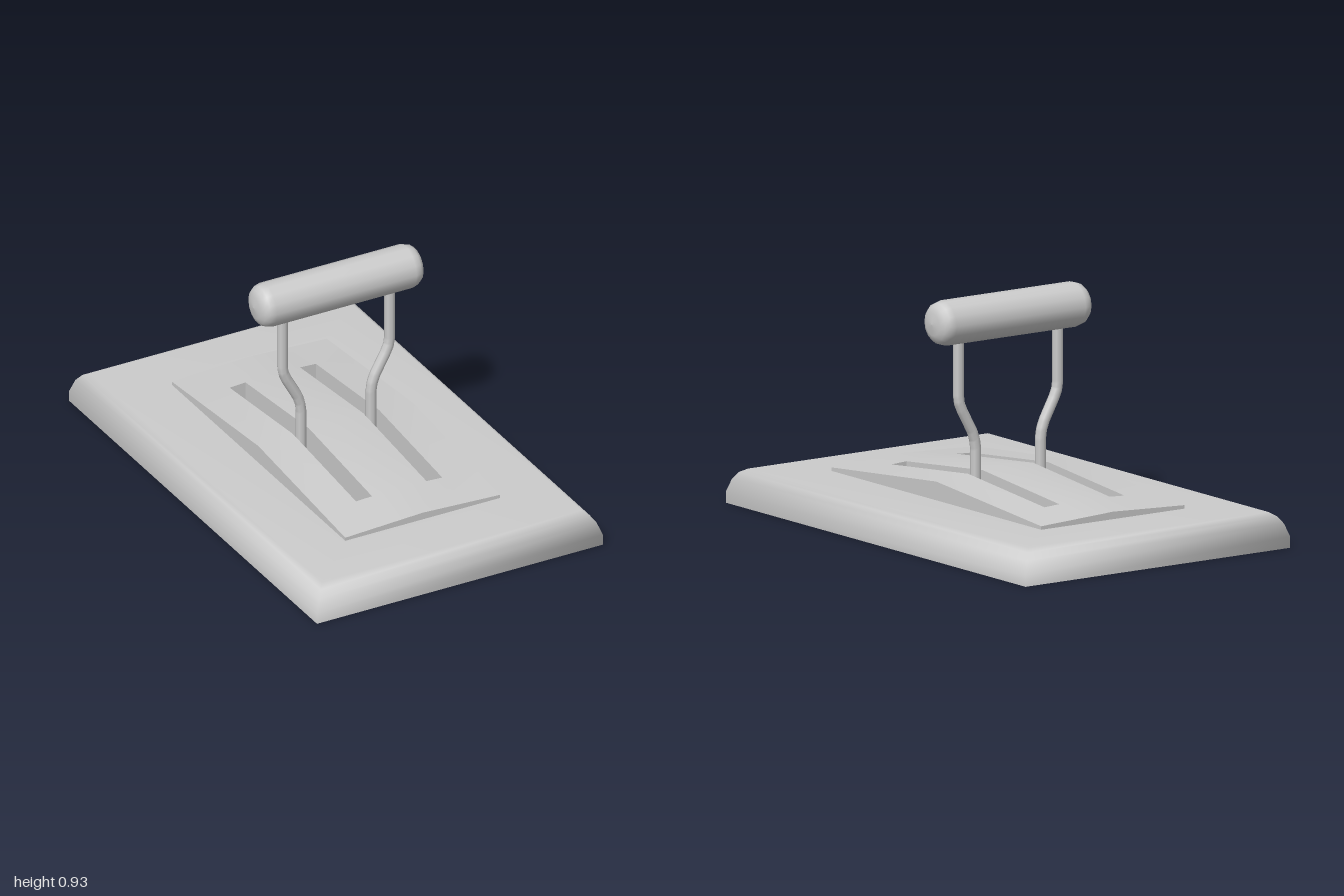
import * as THREE from 'three';
import { toCreasedNormals } from 'three/addons/utils/BufferGeometryUtils.js';

const shell = new THREE.MeshStandardMaterial({ color: 0xcccccc, side: THREE.DoubleSide });
const solid = new THREE.MeshStandardMaterial({ color: 0xcccccc });

function part(name, geometry, material) {
  const mesh = new THREE.Mesh(geometry, material);
  mesh.name = name;
  return mesh;
}

// Hollow base: rectangular rings from the rim up to the panel opening
function baseGeometry() {
  const rings = [ // half width, half depth, height
    [0.64, 1.0, 0], [0.64, 1.0, 0.045], [0.621, 0.984, 0.097],
    [0.602, 0.963, 0.125], [0.58, 0.935, 0.14], [0.347, 0.7, 0.142],
  ];
  const positions = [], index = [];
  for (const [w, d, y] of rings) positions.push(w, y, d, w, y, -d, -w, y, -d, -w, y, d);
  for (let r = 0; r < rings.length - 1; r++) {
    for (let i = 0; i < 4; i++) {
      const a = r * 4 + i, b = r * 4 + (i + 1) % 4;
      index.push(a, b, b + 4, a, b + 4, a + 4);
    }
  }
  const g = new THREE.BufferGeometry();
  g.setAttribute('position', new THREE.Float32BufferAttribute(positions, 3));
  g.setIndex(index);
  g.computeVertexNormals();
  return g;
}

// Peaked panel with two slots that drop to a flat floor
const W = 0.347, D = 0.7, SLOT_IN = 0.122, SLOT_OUT = 0.193, SLOT_Z = 0.51, FLOOR = 0.015;

function panelHeight(x, z) {
  const u = Math.abs(x) / W, v = Math.abs(z) / D;
  return 0.245 - 0.028 * u - 0.073 * v + 0.012 * u * v;
}

function panelGeometry() {
  const xs = [-W, -SLOT_OUT, -SLOT_IN, 0, SLOT_IN, SLOT_OUT, W];
  const zs = [-D, -SLOT_Z, 0, SLOT_Z, D];
  const positions = [];
  const quad = (a, b, c, d) => positions.push(...a, ...b, ...c, ...a, ...c, ...d);
  const top = (x, z) => [x, panelHeight(x, z), z];
  // Vertical wall, facing right of the direction of travel when seen from above
  const wall = (x0, z0, x1, z1, y) =>
    quad([x0, y, z0], [x1, y, z1], top(x1, z1), top(x0, z0));

  for (let i = 0; i < xs.length - 1; i++) {
    const x0 = xs[i], x1 = xs[i + 1];
    for (let j = 0; j < zs.length - 1; j++) {
      const z0 = zs[j], z1 = zs[j + 1];
      const isSlot = (i === 1 || i === 4) && (j === 1 || j === 2);
      if (isSlot) {
        quad([x0, FLOOR, z1], [x1, FLOOR, z1], [x1, FLOOR, z0], [x0, FLOOR, z0]);
        wall(x0, z1, x0, z0, FLOOR);
        wall(x1, z0, x1, z1, FLOOR);
        if (j === 1) wall(x0, z0, x1, z0, FLOOR);
        else wall(x1, z1, x0, z1, FLOOR);
      } else {
        quad(top(x0, z1), top(x1, z1), top(x1, z0), top(x0, z0));
      }
    }
    // Front and back skirts
    wall(x0, D, x1, D, 0.14);
    wall(x1, -D, x0, -D, 0.14);
  }
  // Side skirts
  for (let j = 0; j < zs.length - 1; j++) {
    wall(W, zs[j + 1], W, zs[j], 0.14);
    wall(-W, zs[j], -W, zs[j + 1], 0.14);
  }
  const g = new THREE.BufferGeometry();
  g.setAttribute('position', new THREE.Float32BufferAttribute(positions, 3));
  return toCreasedNormals(g, 0.5);
}

// Bent lever rod rising from a slot into the grip
function rodGeometry(side) {
  const points = [
    [0.157, 0.02], [0.157, 0.33], [0.162, 0.365], [0.175, 0.4],
    [0.222, 0.485], [0.235, 0.515], [0.24, 0.55], [0.24, 0.8],
  ].map(([x, y]) => new THREE.Vector3(side * x, y, 0));
  const path = new THREE.CurvePath();
  for (let i = 0; i < points.length - 1; i++) path.add(new THREE.LineCurve3(points[i], points[i + 1]));
  return new THREE.TubeGeometry(path, 64, 0.022, 8, false);
}

// Rounded grip turned around the x axis
function gripGeometry() {
  const half = [[0, 0.37], [0.045, 0.365], [0.07, 0.354], [0.083, 0.338], [0.09, 0.312]];
  const profile = [
    ...half.map(([r, x]) => new THREE.Vector2(r, -x)),
    ...half.slice().reverse().map(([r, x]) => new THREE.Vector2(r, x)),
  ];
  return new THREE.LatheGeometry(profile, 14).rotateZ(-Math.PI / 2).translate(0, 0.847, 0);
}

export function createModel() {
  const model = new THREE.Group();
  model.name = 'leverSwitch';
  model.add(part('base', baseGeometry(), shell));
  model.add(part('slottedPanel', panelGeometry(), shell));
  model.add(part('leftRod', rodGeometry(1), solid));
  model.add(part('rightRod', rodGeometry(-1), solid));
  model.add(part('grip', gripGeometry(), solid));
  return model;
}
